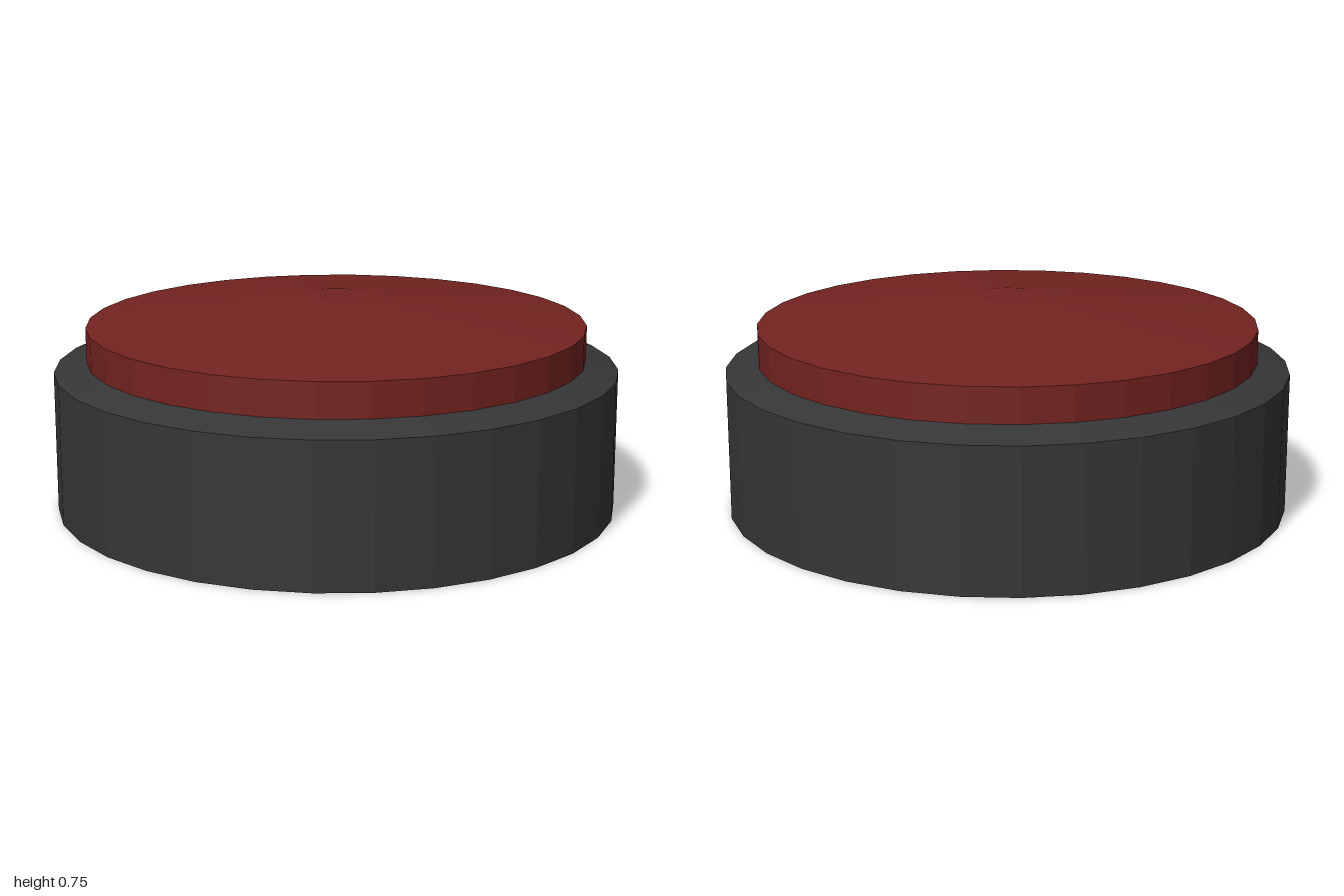
import * as THREE from 'three';

const SIDES = 32;

// Faceted turned part from a bottom-to-top profile of [radius, height]
function turned(name, color, profile) {
  const points = profile.map(([r, y]) => new THREE.Vector2(r, y));
  const material = new THREE.MeshStandardMaterial({ color, flatShading: true });
  const mesh = new THREE.Mesh(new THREE.LatheGeometry(points, SIDES), material);
  mesh.name = name;
  return mesh;
}

export function createModel() {
  const group = new THREE.Group();
  group.name = 'pushButton';

  // Dark housing with a flat underside and a sloping rim
  group.add(turned('housing', 0x363636, [[0, 0], [1, 0], [1, 0.5], [0.885, 0.535]]));

  // Red cap: short wall, shallow cone and a small flat centre
  group.add(turned('buttonCap', 0x732320, [[0.885, 0.535], [0.885, 0.657], [0.11, 0.755], [0, 0.755]]));

  return group;
}
